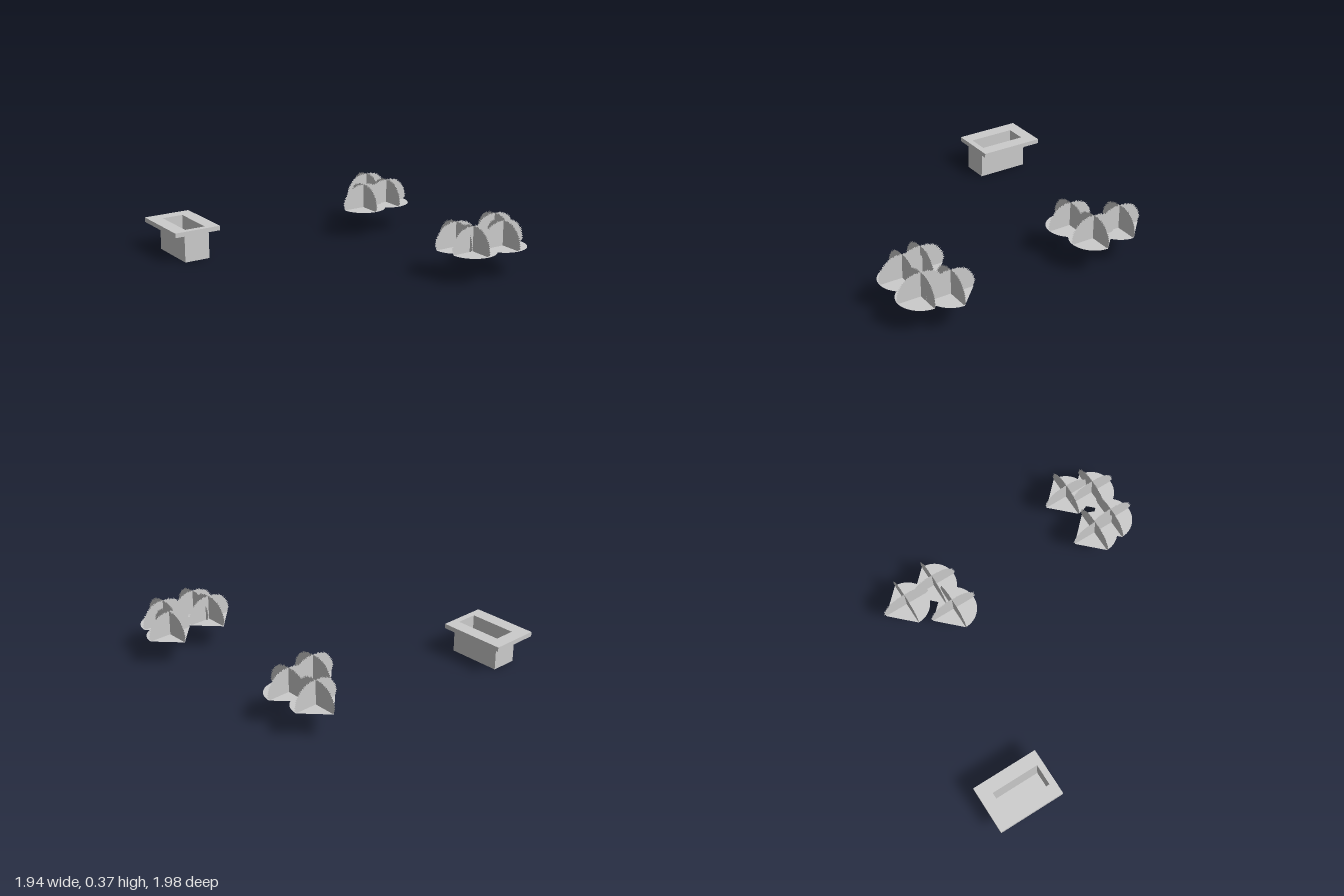
import * as THREE from 'three';

const solid = new THREE.MeshStandardMaterial({ color: 0xcccccc, flatShading: true });
const leafy = new THREE.MeshStandardMaterial({ color: 0xcccccc, side: THREE.DoubleSide });

// Small seeded random for the ragged leaf tips
function seeded(seed) {
  let s = seed;
  return () => (s = (s * 16807) % 2147483647) / 2147483647;
}

function addMesh(parent, name, geometry, material) {
  const mesh = new THREE.Mesh(geometry, material);
  mesh.name = name;
  parent.add(mesh);
  return mesh;
}

// Rectangle in plan (shape y = -z)
function rect(path, [x0, x1, z0, z1]) {
  path.moveTo(x0, -z0);
  path.lineTo(x0, -z1);
  path.lineTo(x1, -z1);
  path.lineTo(x1, -z0);
  path.closePath();
  return path;
}

// Rectangular slab with an optional opening, between two heights
function slab(outer, hole, y0, y1) {
  const shape = rect(new THREE.Shape(), outer);
  if (hole) shape.holes.push(rect(new THREE.Path(), hole));
  const geo = new THREE.ExtrudeGeometry(shape, { depth: y1 - y0, bevelEnabled: false });
  return geo.rotateX(-Math.PI / 2).translate(0, y0, 0);
}

// Upright leaf card: rounded dome with a jagged rim
function leafCard() {
  const rand = seeded(37);
  const half = [[0.15, 0], [0.168, 0.03], [0.155, 0.085], [0.115, 0.138], [0.06, 0.165]];
  const pts = [...half, [0, 0.169], ...half.map(([x, y]) => [-x, y]).reverse()];
  const curve = new THREE.SplineCurve(pts.map(([x, y]) => new THREE.Vector2(x, y)));
  const n = 90;
  const rim = curve.getSpacedPoints(n).map((p, i) => {
    if (i === 0 || i === n) return p;
    const out = (i % 2 ? 0.006 : -0.004) + (rand() - 0.5) * 0.008;
    const dir = new THREE.Vector2(p.x, p.y).normalize();
    p.addScaledVector(dir, out);
    p.y = Math.max(p.y, 0.001);
    return p;
  });
  return new THREE.ShapeGeometry(new THREE.Shape(rim));
}

// Ground sheet: half disc in front, pointed triangle behind
function groundSheet() {
  const r = 0.159;
  const shape = new THREE.Shape();
  shape.moveTo(-r, 0);
  shape.lineTo(0, 0.162);
  shape.lineTo(r, 0);
  shape.absarc(0, 0, r, 0, -Math.PI, true);
  return new THREE.ShapeGeometry(shape, 24).rotateX(-Math.PI / 2);
}

export function createModel() {
  const model = new THREE.Group();
  model.name = 'planterAndBushes';

  // Planter: hollow box under a wide rim
  const planter = new THREE.Group();
  planter.name = 'planter';
  model.add(planter);
  const box = [-0.903, -0.72, -0.92, -0.55];
  const opening = [-0.885, -0.736, -0.91, -0.573];
  addMesh(planter, 'planterRim', slab([-0.98, -0.643, -1, -0.53], opening, 0.19, 0.222), solid);
  addMesh(planter, 'planterWalls', slab(box, opening, 0.015, 0.19), solid);
  addMesh(planter, 'planterFloor', slab(box, null, 0, 0.015), solid);

  // Bushes in two clumps, each two crossed cards on a ground sheet
  const clumps = {
    backBushes: [[0.694, -0.71], [0.493, -0.46], [0.714, -0.485]],
    frontBushes: [[0.451, 0.655], [0.789, 0.64], [0.477, 0.798], [0.72, 0.808]],
  };
  const card = leafCard();
  const sheet = groundSheet();
  for (const [name, spots] of Object.entries(clumps)) {
    const clump = new THREE.Group();
    clump.name = name;
    model.add(clump);
    for (const [x, z] of spots) {
      const bush = new THREE.Group();
      bush.name = 'bush';
      bush.position.set(x, 0.193, z);
      addMesh(bush, 'groundSheet', sheet, leafy);
      addMesh(bush, 'leafCardAcross', card, leafy);
      addMesh(bush, 'leafCardAlong', card, leafy).rotation.y = -Math.PI / 2;
      clump.add(bush);
    }
  }
  return model;
}
